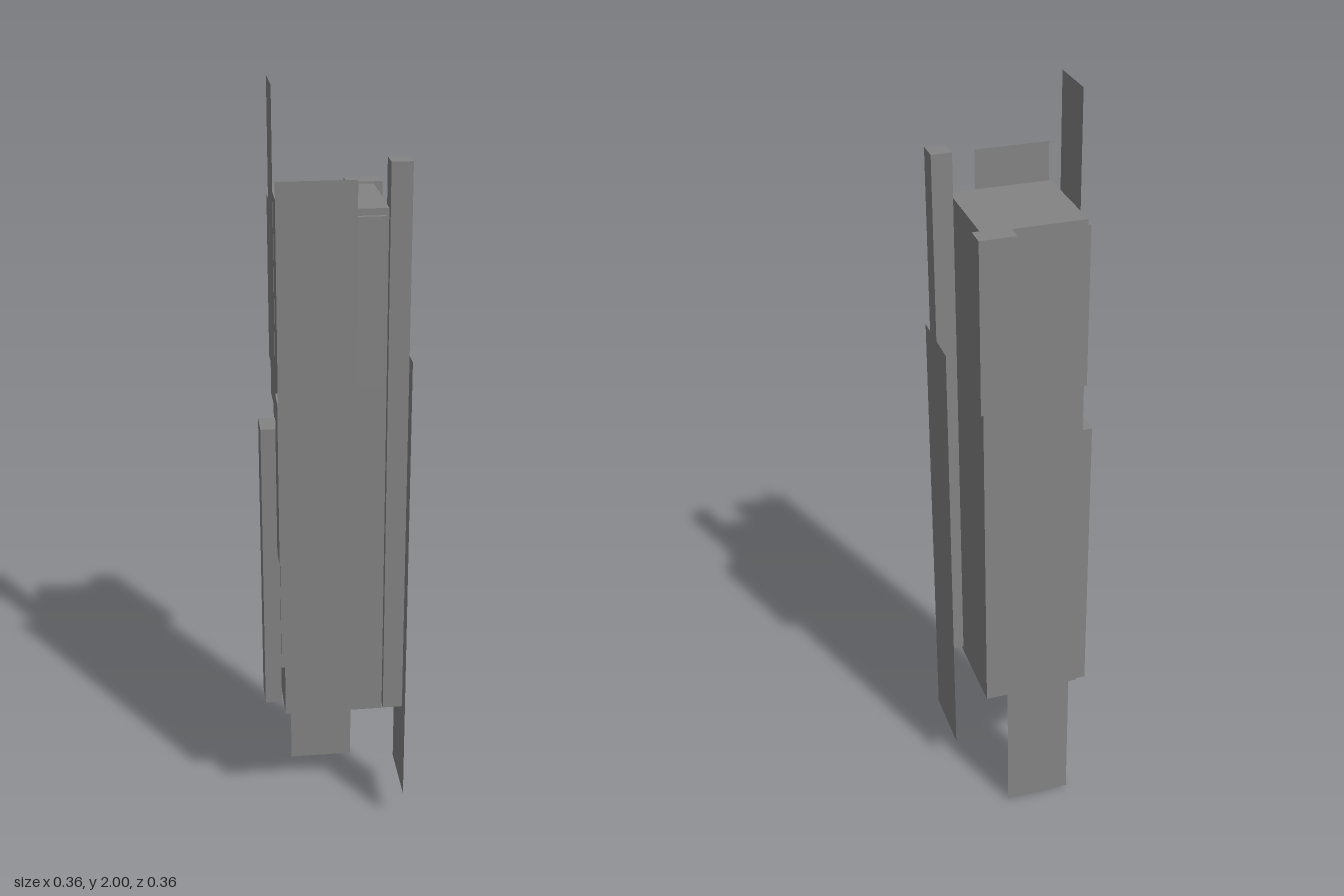
import * as THREE from 'three';

export function createModel() {
  const group = new THREE.Group();
  const grey = new THREE.MeshStandardMaterial({ color: 0x848484, side: THREE.DoubleSide });
  grey.name = 'plain grey';

  const add = (name, geometry, x, y, z) => {
    const mesh = new THREE.Mesh(geometry, grey);
    mesh.name = name;
    mesh.position.set(x, y, z);
    group.add(mesh);
    return mesh;
  };
  // Solid block given by its limits on each axis
  const block = (name, [x0, x1], [y0, y1], [z0, z1]) =>
    add(name, new THREE.BoxGeometry(x1 - x0, y1 - y0, z1 - z0),
      (x0 + x1) / 2, (y0 + y1) / 2, (z0 + z1) / 2);
  // Flat panels facing along z or along x
  const panelZ = (name, [x0, x1], [y0, y1], z) =>
    add(name, new THREE.PlaneGeometry(x1 - x0, y1 - y0), (x0 + x1) / 2, (y0 + y1) / 2, z);
  const panelX = (name, x, [y0, y1], [z0, z1]) => {
    add(name, new THREE.PlaneGeometry(z1 - z0, y1 - y0), x, (y0 + y1) / 2, (z0 + z1) / 2)
      .rotation.y = Math.PI / 2;
  };

  // Main tower
  block('towerCore', [-0.135, 0.125], [0.345, 1.717], [-0.13, 0.128]);

  // Attached blocks
  block('frontRib', [-0.06, 0.028], [0.765, 1.697], [0.128, 0.173]);
  block('cornerPost', [0.125, 0.177], [0.36, 1.83], [0.092, 0.15]);
  block('rightRib', [-0.18, -0.135], [0.305, 1.12], [-0.08, 0.003]);
  block('backRib', [-0.06, 0.052], [0.27, 0.88], [-0.17, -0.13]);
  block('backUpperBlock', [0.055, 0.147], [1.272, 1.722], [-0.183, -0.13]);

  // Shallow raised windows
  block('frontWindow', [0.046, 0.117], [1.275, 1.7], [0.128, 0.138]);
  block('rightUpperWindow', [-0.145, -0.135], [1.275, 1.7], [-0.124, -0.052]);
  block('rightLowerWindow', [-0.145, -0.135], [0.79, 1.235], [0.05, 0.121]);

  // Thin hanging and rising panels
  panelZ('frontPanel', [-0.148, 0.044], [0.52, 1.797], 0.18);
  panelZ('backPanel', [-0.095, 0.08], [0, 1.15], -0.175);
  panelX('leftPanel', 0.18, [0.1, 1.35], [-0.003, 0.181]);
  panelX('tallFin', -0.147, [1.2, 2], [-0.047, 0.092]);

  return group;
}
